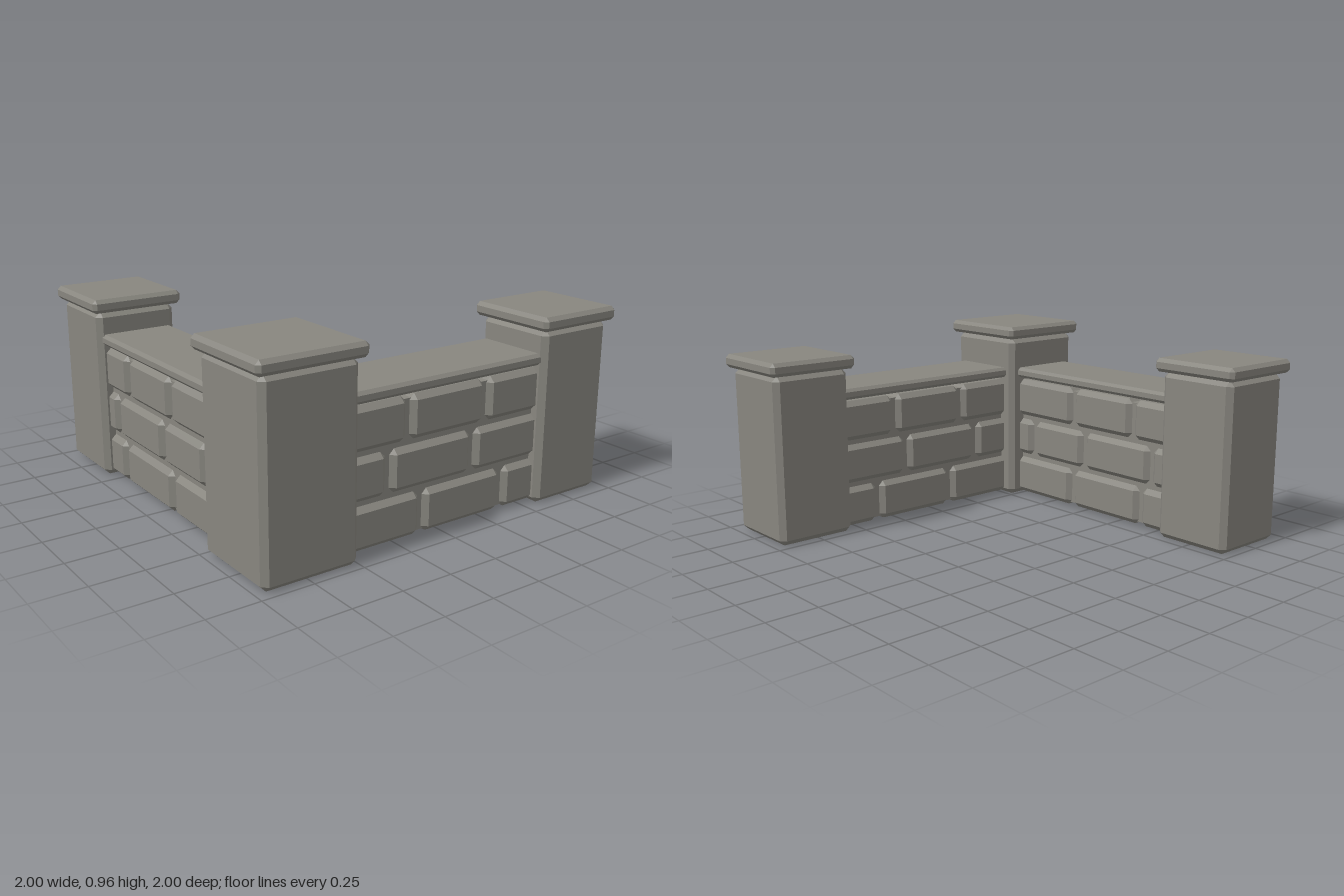
import * as THREE from 'three';
import { ConvexGeometry } from 'three/addons/geometries/ConvexGeometry.js';

const stone = new THREE.MeshStandardMaterial({ color: 0x88867f, flatShading: true });

// Box with every edge cut by a chamfer c
function block(name, w, h, d, c, x, y, z) {
  const points = [];
  for (const sx of [-1, 1]) for (const sy of [-1, 1]) for (const sz of [-1, 1]) {
    const X = w / 2, Y = h / 2, Z = d / 2;
    points.push(
      new THREE.Vector3(sx * X, sy * (Y - c), sz * (Z - c)),
      new THREE.Vector3(sx * (X - c), sy * Y, sz * (Z - c)),
      new THREE.Vector3(sx * (X - c), sy * (Y - c), sz * Z));
  }
  const mesh = new THREE.Mesh(new ConvexGeometry(points), stone);
  mesh.name = name;
  mesh.position.set(x, y, z);
  return mesh;
}

// Square pillar with an overhanging cap
function pillar(name, x, z, width, height, capWidth, top) {
  const group = new THREE.Group();
  group.name = name;
  group.position.set(x, 0, z);
  group.add(
    block('shaft', width, height, width, 0.027, 0, height / 2, 0),
    block('cap', capWidth, top - height, capWidth, 0.018, 0, (top + height) / 2, 0));
  return group;
}

// Brick wall running along local +x from the corner; joints lists the vertical joints of each course
function wall(name, joints) {
  const group = new THREE.Group();
  group.name = name;
  const start = 0.2, end = 1.33, mid = (start + end) / 2, gap = 0.022;
  const courses = [[0.012, 0.215], [0.236, 0.437], [0.458, 0.662]];

  // Recessed mortar core and the coping floating just above the bricks
  const core = new THREE.Mesh(new THREE.BoxGeometry(end - start, 0.62, 0.29), stone);
  core.name = 'mortarCore';
  core.position.set(mid, 0.335, 0);
  group.add(core, block('coping', end - start, 0.055, 0.37, 0.015, mid, 0.7025, 0));

  courses.forEach(([bottom, top], row) => {
    const edges = [start - gap / 2, ...joints[row], end + gap / 2];
    for (let i = 0; i + 1 < edges.length; i++) {
      const width = edges[i + 1] - edges[i] - gap;
      group.add(block('brick', width, top - bottom, 0.34, 0.026,
        (edges[i] + edges[i + 1]) / 2, (bottom + top) / 2, 0));
    }
  });
  return group;
}

export function createModel() {
  const model = new THREE.Group();
  model.name = 'cornerWall';

  // Tall corner pillar and the two lower end pillars
  model.add(
    pillar('cornerPillar', -0.737, 0.735, 0.47, 0.895, 0.525, 0.962),
    pillar('rightPillar', 0.762, 0.735, 0.412, 0.84, 0.468, 0.907),
    pillar('backPillar', -0.737, -0.765, 0.412, 0.84, 0.468, 0.907));

  // Front wall runs to +x, side wall runs to -z
  const front = wall('frontWall', [[0.63, 1.105], [0.445, 0.92], [0.55, 0.99]]);
  front.position.set(-0.74, 0, 0.733);
  const side = wall('sideWall', [[0.647, 1.135], [0.34, 0.73, 1.2], [0.647, 1.07]]);
  side.position.set(-0.737, 0, 0.735);
  side.rotation.y = Math.PI / 2;
  model.add(front, side);

  return model;
}
